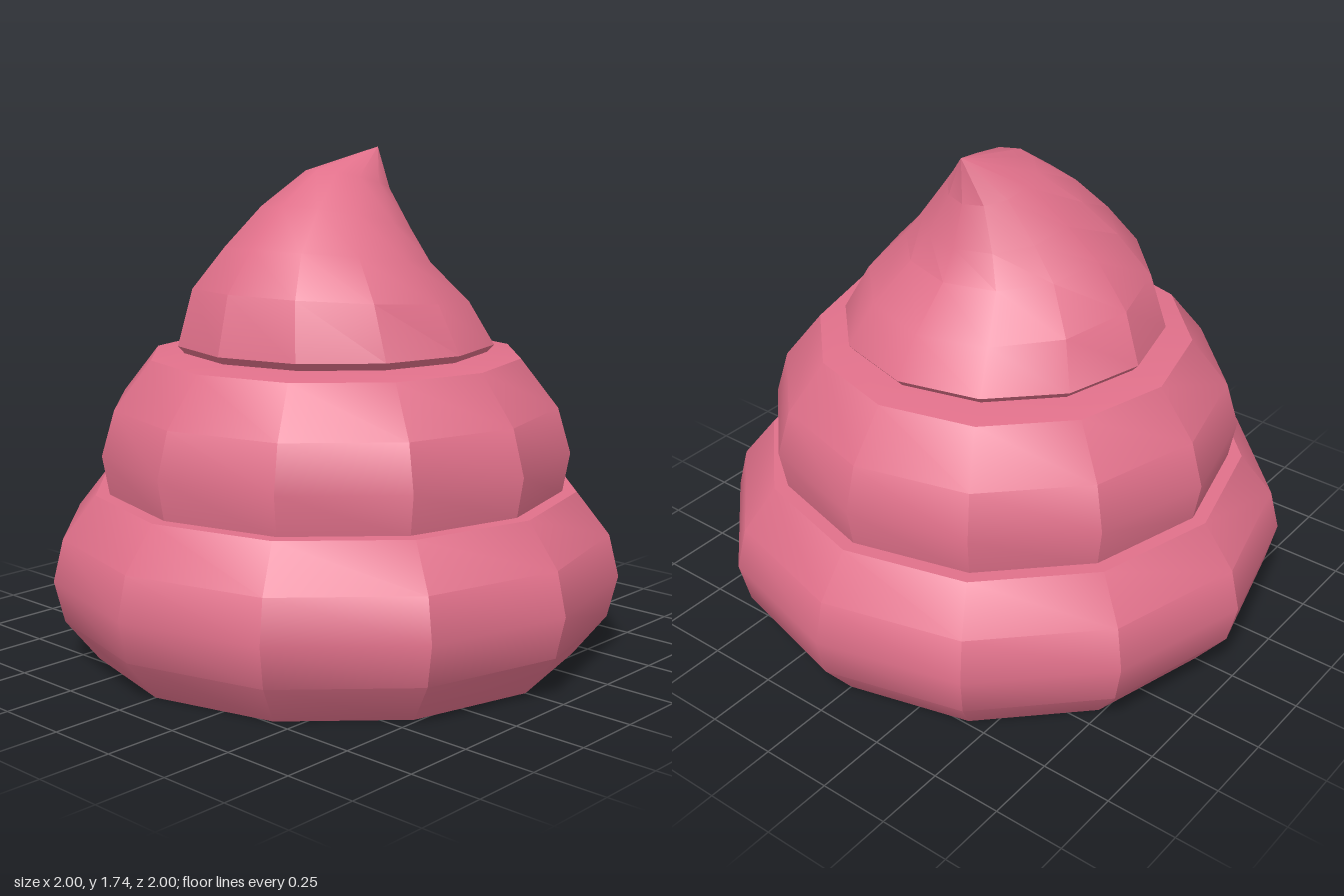
import * as THREE from 'three';
import { toCreasedNormals } from 'three/addons/utils/BufferGeometryUtils.js';

const SIDES = 12;
const CREASE = THREE.MathUtils.degToRad(28);

// Skin stacked rings, bottom to top. Each ring: [leftX, leftY, rightX, rightY, halfDepth];
// a ring of zero size closes the form.
function loft(rings) {
  const pos = [], idx = [];
  for (const [lx, ly, rx, ry, d] of rings) {
    for (let i = 0; i < SIDES; i++) {
      const a = (i / SIDES) * Math.PI * 2;
      const t = (Math.cos(a) + 1) / 2;
      pos.push(lx + (rx - lx) * t, ly + (ry - ly) * t, d * Math.sin(a));
    }
  }
  for (let r = 0; r < rings.length - 1; r++) {
    const closedLow = rings[r][4] === 0, closedHigh = rings[r + 1][4] === 0;
    for (let i = 0; i < SIDES; i++) {
      const j = (i + 1) % SIDES;
      const a = r * SIDES + i, b = r * SIDES + j;
      const c = a + SIDES, d = b + SIDES;
      if (!closedHigh) idx.push(a, c, d);
      if (!closedLow) idx.push(a, d, b);
    }
  }
  const g = new THREE.BufferGeometry();
  g.setAttribute('position', new THREE.Float32BufferAttribute(pos, 3));
  g.setIndex(idx);
  return toCreasedNormals(g, CREASE);
}

// Level, round ring
const ring = (r, y) => [-r, y, r, y, r];

export function createModel() {
  const group = new THREE.Group();
  const pink = new THREE.MeshStandardMaterial({ color: 0xe0708a });
  pink.name = 'rose pink';

  const add = (name, rings) => {
    const mesh = new THREE.Mesh(loft(rings), pink);
    mesh.name = name;
    group.add(mesh);
  };

  // Wide bulging base with a flat underside
  add('bottomTier', [
    ring(0, 0), ring(0.85, 0), ring(0.965, 0.145), ring(1, 0.29),
    ring(0.965, 0.435), ring(0.85, 0.58), ring(0, 0.58),
  ]);

  // Middle bulge with a gently sloped ledge
  add('middleTier', [
    ring(0.8, 0.575), ring(0.825, 0.715), ring(0.78, 0.87),
    ring(0.65, 1.035), ring(0.53, 1.055), ring(0, 1.055),
  ]);

  // Top swirl: rings tilt progressively toward +x and end in a bent point
  add('topSwirl', [
    ring(0.53, 1.05),
    ring(0.557, 1.08),
    [-0.51, 1.28, 0.46, 1.21, 0.485],
    [-0.40, 1.42, 0.32, 1.34, 0.36],
    [-0.26, 1.555, 0.265, 1.44, 0.265],
    [-0.09, 1.67, 0.217, 1.58, 0.145],
    [0.22, 1.74, 0.22, 1.74, 0],
  ]);

  return group;
}
